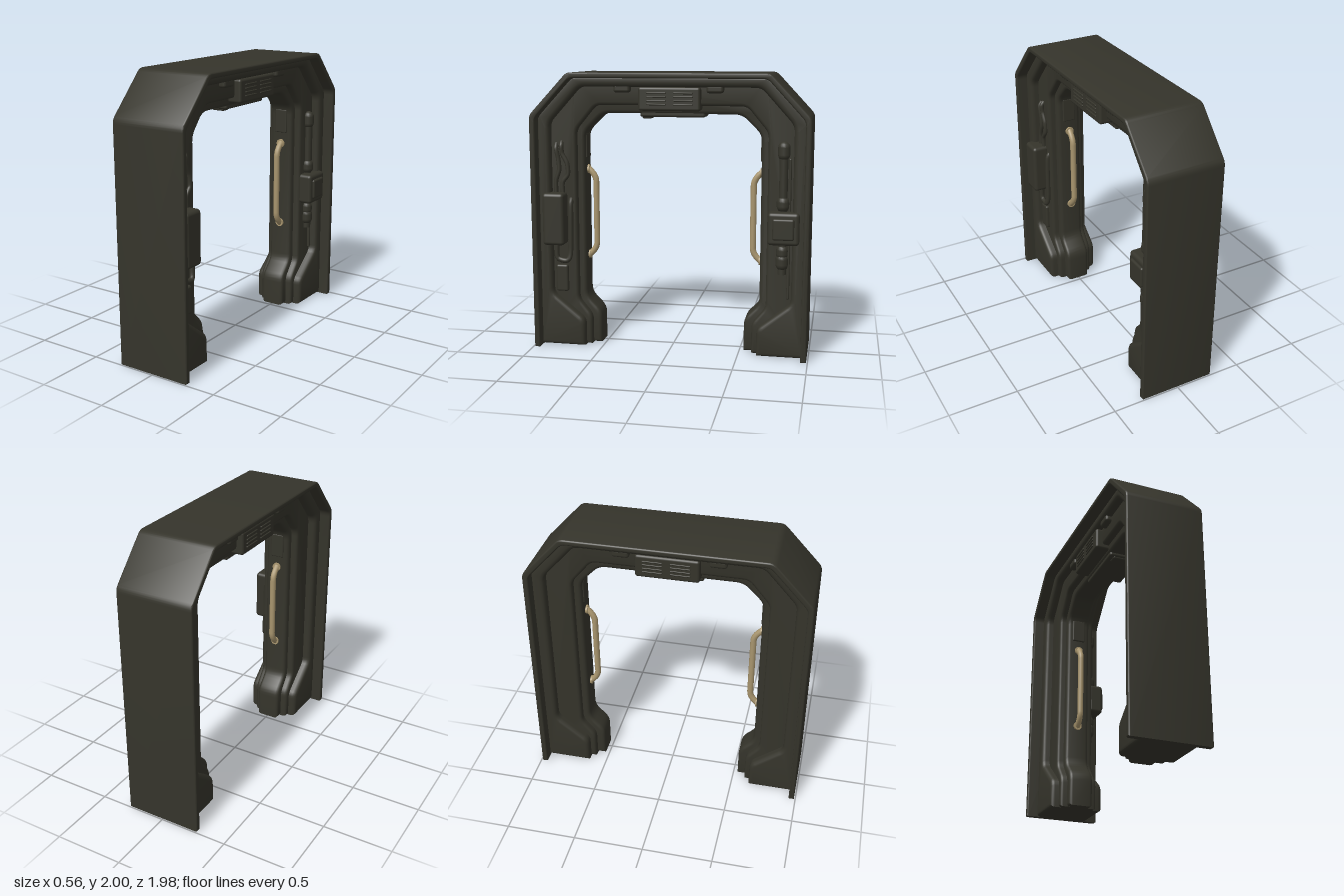
import * as THREE from 'three';
import { toCreasedNormals } from 'three/addons/utils/BufferGeometryUtils.js';
import { RoundedBoxGeometry } from 'three/addons/geometries/RoundedBoxGeometry.js';

const V = (x, y, z) => new THREE.Vector3(x, y, z);

export function createModel() {
  const group = new THREE.Group();
  const metal = new THREE.MeshStandardMaterial({ color: 0x35342b });
  metal.name = 'dark olive metal';
  const tan = new THREE.MeshStandardMaterial({ color: 0xa8956e });
  tan.name = 'tan handle';

  const add = (name, geometry, material = metal) => {
    const mesh = new THREE.Mesh(geometry, material);
    mesh.name = name;
    group.add(mesh);
    return mesh;
  };

  // Closed outline with softened corners, square where it meets the floor
  const softShape = (pts, r) => {
    const shape = new THREE.Shape();
    const p = pts.map(([a, b]) => new THREE.Vector2(a, b));
    p.forEach((c, i) => {
      if (c.y === 0) {
        if (i) shape.lineTo(c.x, c.y);
        else shape.moveTo(c.x, c.y);
        return;
      }
      const before = p[i - 1];
      const after = p[i + 1];
      const from = c.clone().add(before.clone().sub(c).setLength(r));
      const to = c.clone().add(after.clone().sub(c).setLength(r));
      shape.lineTo(from.x, from.y);
      shape.quadraticCurveTo(c.x, c.y, to.x, to.y);
    });
    shape.closePath();
    return shape;
  };

  // Arch layer: half outlines (z, y) are mirrored, then extruded across x
  const arch = (name, outer, inner, halfWidth, bevel, r) => {
    const flip = (list) => list.map(([z, y]) => [-z, y]);
    const pts = [...outer, ...flip(outer).reverse(), ...flip(inner), ...[...inner].reverse()];
    const geometry = new THREE.ExtrudeGeometry(softShape(pts, r), {
      depth: 2 * (halfWidth - bevel), bevelEnabled: true, bevelThickness: bevel,
      bevelSize: bevel, bevelOffset: -bevel, bevelSegments: 3, curveSegments: 4,
    });
    geometry.translate(0, 0, bevel - halfWidth);
    geometry.rotateY(-Math.PI / 2);
    add(name, toCreasedNormals(geometry, 0.7));
  };

  // Wide thin shell outside, stepping down to a narrow inner ridge
  arch('outerShell', [[0.99, 0], [0.99, 1.7], [0.71, 2]],
    [[0.95, 0], [0.95, 1.68], [0.69, 1.962]], 0.28, 0.01, 0.03);
  const buried = [[0.975, 0], [0.975, 1.69], [0.7, 1.985]];
  arch('outerStep', buried,
    [[0.63, 0], [0.63, 0.2], [0.87, 0.39], [0.87, 1.645], [0.64, 1.9]], 0.2, 0.03, 0.04);
  arch('middleStep', buried,
    [[0.59, 0], [0.59, 0.22], [0.69, 0.34], [0.69, 1.59], [0.54, 1.77]], 0.14, 0.022, 0.04);
  arch('innerRidge', buried,
    [[0.53, 0], [0.53, 0.24], [0.64, 0.35], [0.64, 1.57], [0.5, 1.71]], 0.09, 0.025, 0.05);

  // Helpers: rounded block from ranges, and a pipe through points
  const block = (name, x, y, z, radius = 0.012) => {
    const [w, h, d] = [x, y, z].map(([a, b]) => b - a);
    const mesh = add(name, new RoundedBoxGeometry(w, h, d, 3, radius));
    mesh.position.set((x[0] + x[1]) / 2, (y[0] + y[1]) / 2, (z[0] + z[1]) / 2);
  };
  const pipe = (name, pts, radius) => {
    const curve = new THREE.CatmullRomCurve3(pts, false, 'catmullrom', 0.4);
    add(name, new THREE.TubeGeometry(curve, 40, radius, 10));
  };

  // Grab handles on the inside of both posts
  for (const s of [1, -1]) {
    const path = new THREE.CurvePath();
    const p = [[0.65, 0.64], [0.635, 0.655], [0.58, 0.7], [0.58, 0.75],
      [0.58, 1.2], [0.58, 1.25], [0.635, 1.295], [0.65, 1.31]].map(([z, y]) => V(0, y, s * z));
    path.add(new THREE.LineCurve3(p[0], p[1]));
    path.add(new THREE.QuadraticBezierCurve3(p[1], p[2], p[3]));
    path.add(new THREE.LineCurve3(p[3], p[4]));
    path.add(new THREE.QuadraticBezierCurve3(p[4], p[5], p[6]));
    path.add(new THREE.LineCurve3(p[6], p[7]));
    add('grabHandle', new THREE.TubeGeometry(path, 48, 0.022, 12), tan);
    for (const y of [0.655, 1.295]) {
      const foot = add('handleFoot', new THREE.CylinderGeometry(0.032, 0.032, 0.02, 14), tan);
      foot.rotation.x = Math.PI / 2;
      foot.position.set(0, y, s * 0.636);
    }
    // Thin wear plates above the handles
    block('innerPlate', [-0.05, 0.05], [1.38, 1.56], s > 0 ? [0.632, 0.66] : [-0.66, -0.632], 0.008);
  }

  // Lintel unit: housing with slotted vents on both sides, lower tray and brackets
  block('lintelHousing', [-0.19, 0.19], [1.735, 1.9], [-0.22, 0.22], 0.018);
  block('lintelTray', [-0.08, 0.08], [1.685, 1.74], [-0.24, 0.23], 0.016);
  block('trayLug', [-0.05, 0.05], [1.672, 1.71], [0.15, 0.22], 0.012);
  for (const s of [1, -1]) {
    for (const z of [0.09, -0.1]) {
      for (let i = 0; i < 4; i++) {
        block('ventSlat', s > 0 ? [0.18, 0.197] : [-0.197, -0.18],
          [1.775 + i * 0.026, 1.787 + i * 0.026], [z - 0.07, z + 0.07], 0.005);
      }
    }
    for (const z of [0.34, -0.32]) {
      block('lintelBracket', s > 0 ? [0.12, 0.185] : [-0.185, -0.12],
        [1.86, 1.92], [z - 0.06, z + 0.06], 0.02);
    }
  }

  // Front post equipment: box, cables, drain pipe and plate
  block('controlBox', [0.12, 0.25], [0.76, 1.14], [0.76, 0.92], 0.025);
  pipe('cable', [V(0.15, 1.12, 0.84), V(0.15, 1.22, 0.84), V(0.15, 1.3, 0.815),
    V(0.15, 1.38, 0.82), V(0.15, 1.46, 0.835), V(0.11, 1.51, 0.835)], 0.016);
  pipe('cable', [V(0.15, 1.12, 0.79), V(0.15, 1.21, 0.79), V(0.15, 1.27, 0.75),
    V(0.15, 1.35, 0.755), V(0.15, 1.42, 0.79), V(0.15, 1.48, 0.795), V(0.11, 1.52, 0.80)], 0.016);
  pipe('drainPipe', [V(0.16, 0.78, 0.84), V(0.16, 0.66, 0.84), V(0.16, 0.635, 0.80),
    V(0.16, 0.64, 0.755), V(0.15, 0.72, 0.74), V(0.145, 1.05, 0.735), V(0.1, 1.1, 0.735)], 0.019);
  block('postPlate', [0.12, 0.165], [0.4, 0.6], [0.76, 0.85], 0.015);

  // Back post equipment: conduit with collars and a junction box
  const conduit = add('conduit', new THREE.CylinderGeometry(0.03, 0.03, 0.82, 16));
  conduit.position.set(0.15, 1.01, -0.8);
  for (const [y, r, h] of [[1.47, 0.042, 0.1], [1.1, 0.045, 0.05], [0.76, 0.042, 0.05], [0.69, 0.045, 0.07]]) {
    const collar = add('conduitCollar', new THREE.CapsuleGeometry(r, h * 0.5, 5, 16));
    collar.position.set(0.15, y, -0.8);
  }
  block('conduitStrip', [0.12, 0.16], [0.42, 1.42], [-0.855, -0.835], 0.008);
  block('junctionBox', [0.12, 0.235], [0.82, 1.05], [-0.92, -0.7], 0.025);
  block('junctionCover', [0.2, 0.25], [0.86, 1.01], [-0.885, -0.735], 0.014);

  return group;
}
